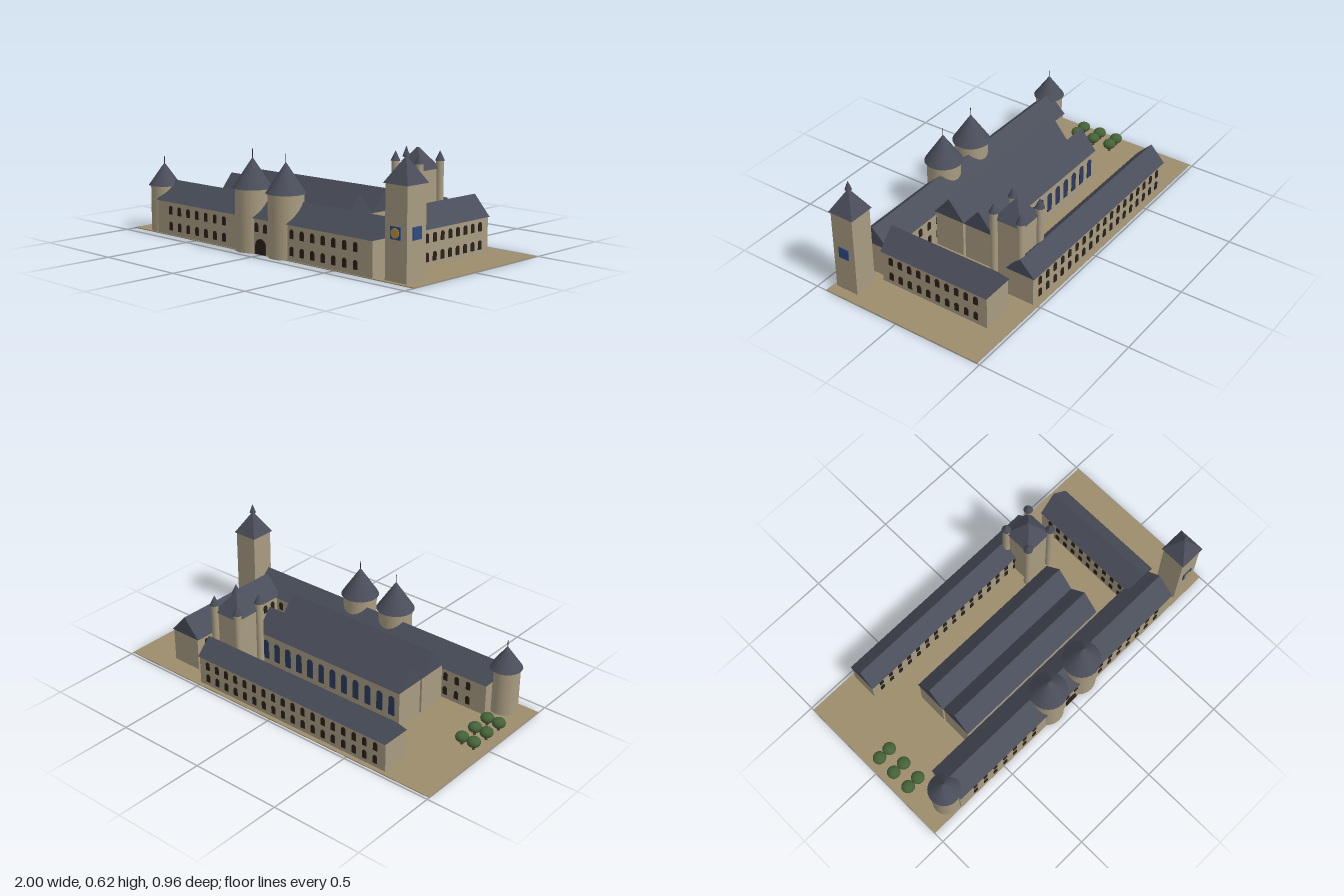
import * as THREE from 'three';

const mat = (color, flatShading = false) => new THREE.MeshStandardMaterial({ color, flatShading });
const WALL = mat(0xa89b80), ROOF = mat(0x4a4e5a), ROOF_FLAT = mat(0x4a4e5a, true), GROUND = mat(0x9c8c6c);
const DARK = mat(0x2a211a), BLUE = mat(0x2f4a86), GLASS = mat(0x2a3a60), GOLD = mat(0xb8923a);
const LEAF = mat(0x456238), BARK = mat(0x5a4230), IRON = mat(0x333333);

function add(parent, name, geometry, material, x = 0, y = 0, z = 0) {
  const mesh = new THREE.Mesh(geometry, material);
  mesh.name = name;
  mesh.position.set(x, y, z);
  parent.add(mesh);
  return mesh;
}

function group(parent, name, x = 0, z = 0) {
  const g = new THREE.Group();
  g.name = name;
  g.position.set(x, 0, z);
  parent.add(g);
  return g;
}

// Round-headed opening standing on its local y = 0 and facing +z
function archGeometry(w, h, depth = 0.008) {
  const r = w / 2, s = new THREE.Shape();
  s.moveTo(-r, 0);
  s.lineTo(r, 0);
  s.lineTo(r, h - r);
  s.absarc(0, h - r, r, 0, Math.PI, false);
  s.closePath();
  return new THREE.ExtrudeGeometry(s, { depth, bevelEnabled: false, curveSegments: 8 })
    .translate(0, 0, -depth / 2);
}
const windowGeo = archGeometry(0.025, 0.046);

// Triangular roof running along x, eaves at local y = 0
function gableRoof(length, span, rise) {
  const s = new THREE.Shape();
  s.moveTo(-span / 2, 0);
  s.lineTo(span / 2, 0);
  s.lineTo(0, rise);
  s.closePath();
  return new THREE.ExtrudeGeometry(s, { depth: length, bevelEnabled: false })
    .translate(0, 0, -length / 2).rotateY(Math.PI / 2);
}

// Long building along its local x, with optional window rows on both long sides
function wing(parent, name, o) {
  const g = group(parent, name, o.x, o.z);
  const depth = o.span - 0.016;
  add(g, 'walls', new THREE.BoxGeometry(o.length - 0.006, o.eave, depth), WALL, 0, o.eave / 2);
  add(g, 'roof', gableRoof(o.length, o.span, o.ridge - o.eave), ROOF, 0, o.eave);
  for (const side of [1, -1]) {
    for (const y of o.rows || []) {
      for (const x of o.columns) {
        if (o.skip && side > 0 && o.skip(x)) continue;
        const w = add(g, 'window', windowGeo, DARK, x - o.offset, y, side * depth / 2);
        if (side < 0) w.rotation.y = Math.PI;
      }
    }
  }
  return g;
}

const spread = (from, to, n) => Array.from({ length: n }, (_, i) => from + (to - from) * i / (n - 1));

// Drum with a conical roof and a thin finial
function roundTower(parent, name, o) {
  const g = group(parent, name, o.x, o.z);
  add(g, 'drum', new THREE.CylinderGeometry(o.r, o.r, o.eave, 24), WALL, 0, o.eave / 2);
  const rise = o.apex - o.eave;
  add(g, 'coneRoof', new THREE.ConeGeometry(o.eaveR, rise, 24), ROOF, 0, o.eave + rise / 2);
  if (o.tip) add(g, 'finial', new THREE.CylinderGeometry(0.002, 0.002, o.tip - o.apex + 0.02, 6), IRON,
    0, (o.tip + o.apex - 0.02) / 2);
  return g;
}

// Four-sided roof with its sides square to the axes
const pyramid = (half, rise, top = 0) =>
  new THREE.CylinderGeometry(top, half * Math.SQRT2, rise, 4).rotateY(Math.PI / 4);

export function createModel() {
  const model = new THREE.Group();
  model.name = 'castle';

  add(model, 'ground', new THREE.BoxGeometry(2, 0.004, 0.925), GROUND, 0, 0.002, -0.0225);

  // Front wing with the gate
  const front = wing(model, 'frontWing', {
    x: -0.03, z: 0.337, offset: -0.03, length: 1.56, span: 0.21, eave: 0.18, ridge: 0.28,
    rows: [0.028, 0.113], columns: spread(-0.7, 0.64, 20), skip: x => x > -0.23 && x < 0.2,
  });
  add(front, 'gate', archGeometry(0.072, 0.078, 0.014), DARK, 0.028, 0.002, 0.097);
  for (const x of [-0.032, 0.032]) add(front, 'gateWindow', windowGeo, DARK, x + 0.028, 0.113, 0.097);

  // East wing, turned to run front to back
  const east = wing(model, 'eastWing', {
    x: 0.69, z: -0.061, offset: 0, length: 0.645, span: 0.19, eave: 0.187, ridge: 0.292,
    rows: [0.03, 0.122], columns: spread(-0.263, 0.255, 10),
  });
  east.rotation.y = Math.PI / 2;

  // Back wing
  wing(model, 'backWing', {
    x: -0.107, z: -0.385, offset: -0.107, length: 1.235, span: 0.168, eave: 0.163, ridge: 0.25,
    rows: [0.027, 0.1], columns: spread(-0.66, 0.45, 18),
  });

  // Twin-roofed hall in the courtyard
  for (const z of [-0.047, 0.137]) {
    const hall = wing(model, 'hall', {
      x: -0.08, z, length: 0.94, span: 0.185, eave: 0.21, ridge: 0.322,
    });
    if (z < 0) {
      const tall = archGeometry(0.036, 0.11);
      for (const x of spread(-0.42, 0.42, 12)) add(hall, 'hallWindow', tall, GLASS, x, 0.065, -0.0845);
    }
  }

  // Gate towers and corner tower
  for (const x of [-0.122, 0.118]) {
    roundTower(model, 'gateTower', { x, z: 0.377, r: 0.09, eaveR: 0.102, eave: 0.32, apex: 0.474, tip: 0.515 });
  }
  roundTower(model, 'cornerTower', { x: -0.84, z: 0.36, r: 0.074, eaveR: 0.085, eave: 0.25, apex: 0.37, tip: 0.405 });

  // Clock tower
  const clock = group(model, 'clockTower', 0.876, 0.354);
  add(clock, 'shaft', new THREE.BoxGeometry(0.132, 0.455, 0.132), WALL, 0, 0.2275);
  add(clock, 'roof', pyramid(0.074, 0.125), ROOF_FLAT, 0, 0.5175);
  add(clock, 'spire', new THREE.ConeGeometry(0.018, 0.05, 8), ROOF_FLAT, 0, 0.6);
  add(clock, 'frontPanel', new THREE.BoxGeometry(0.06, 0.06, 0.01), BLUE, 0, 0.232, 0.067);
  add(clock, 'sidePanel', new THREE.BoxGeometry(0.01, 0.06, 0.06), BLUE, 0.067, 0.232, 0);
  add(clock, 'clockFace', new THREE.CylinderGeometry(0.024, 0.024, 0.006, 24).rotateX(Math.PI / 2), GOLD,
    0, 0.232, 0.073);

  // Keep with four corner turrets
  const keep = group(model, 'keep', 0.396, -0.286);
  add(keep, 'keepWalls', new THREE.BoxGeometry(0.15, 0.4, 0.15), WALL, 0, 0.2);
  add(keep, 'keepRoof', pyramid(0.084, 0.108, 0.006), ROOF_FLAT, 0, 0.454);
  for (const x of [-0.08, 0.08]) {
    for (const z of [-0.08, 0.08]) {
      roundTower(keep, 'turret', { x, z, r: 0.02, eaveR: 0.025, eave: 0.44, apex: 0.492 });
    }
  }

  // Trees beside the west end
  for (const x of [-0.935, -0.866]) {
    for (const z of [-0.038, 0.07, 0.177]) {
      const tree = group(model, 'tree', x, z);
      add(tree, 'trunk', new THREE.CylinderGeometry(0.006, 0.008, 0.04, 8), BARK, 0, 0.02);
      add(tree, 'foliage', new THREE.SphereGeometry(0.036, 12, 8), LEAF, 0, 0.047).scale.y = 0.75;
    }
  }

  return model;
}
